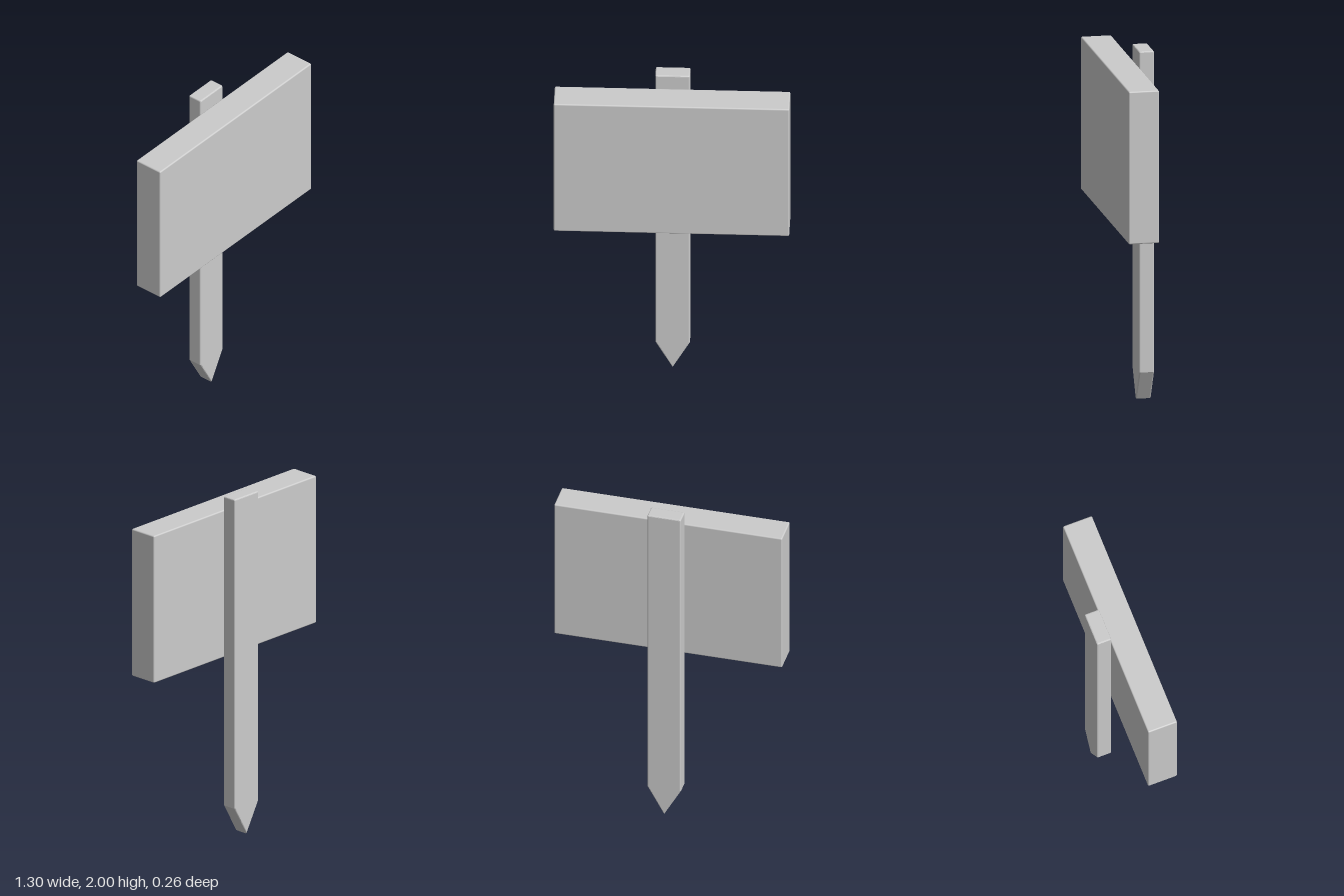
import * as THREE from 'three';
import { RoundedBoxGeometry } from 'three/addons/geometries/RoundedBoxGeometry.js';

const EDGE = 0.008; // softened edge radius

export function createModel() {
  const group = new THREE.Group();
  group.name = 'signpost';
  const material = new THREE.MeshStandardMaterial({ color: 0xcccccc });

  // Sign board
  const board = new THREE.Mesh(new RoundedBoxGeometry(1.304, 0.87, 0.172, 3, EDGE), material);
  board.name = 'board';
  board.position.set(0, 1.48, 0.044);
  group.add(board);

  // Pointed stake behind the board, with softened top corners
  const w = 0.096, top = 2, shoulder = 0.172, depth = 0.086;
  const outline = new THREE.Shape();
  outline.moveTo(0, 0);
  outline.lineTo(w, shoulder);
  outline.lineTo(w, top - EDGE);
  outline.quadraticCurveTo(w, top, w - EDGE, top);
  outline.lineTo(-w + EDGE, top);
  outline.quadraticCurveTo(-w, top, -w, top - EDGE);
  outline.lineTo(-w, shoulder);
  outline.closePath();
  const stakeGeometry = new THREE.ExtrudeGeometry(outline, {
    depth: depth - 2 * EDGE,
    curveSegments: 3,
    bevelEnabled: true,
    bevelThickness: EDGE,
    bevelSize: EDGE,
    bevelOffset: -EDGE,
    bevelSegments: 3,
  });
  const stake = new THREE.Mesh(stakeGeometry, material);
  stake.name = 'stake';
  stake.position.z = -0.13 + EDGE;
  group.add(stake);

  return group;
}
